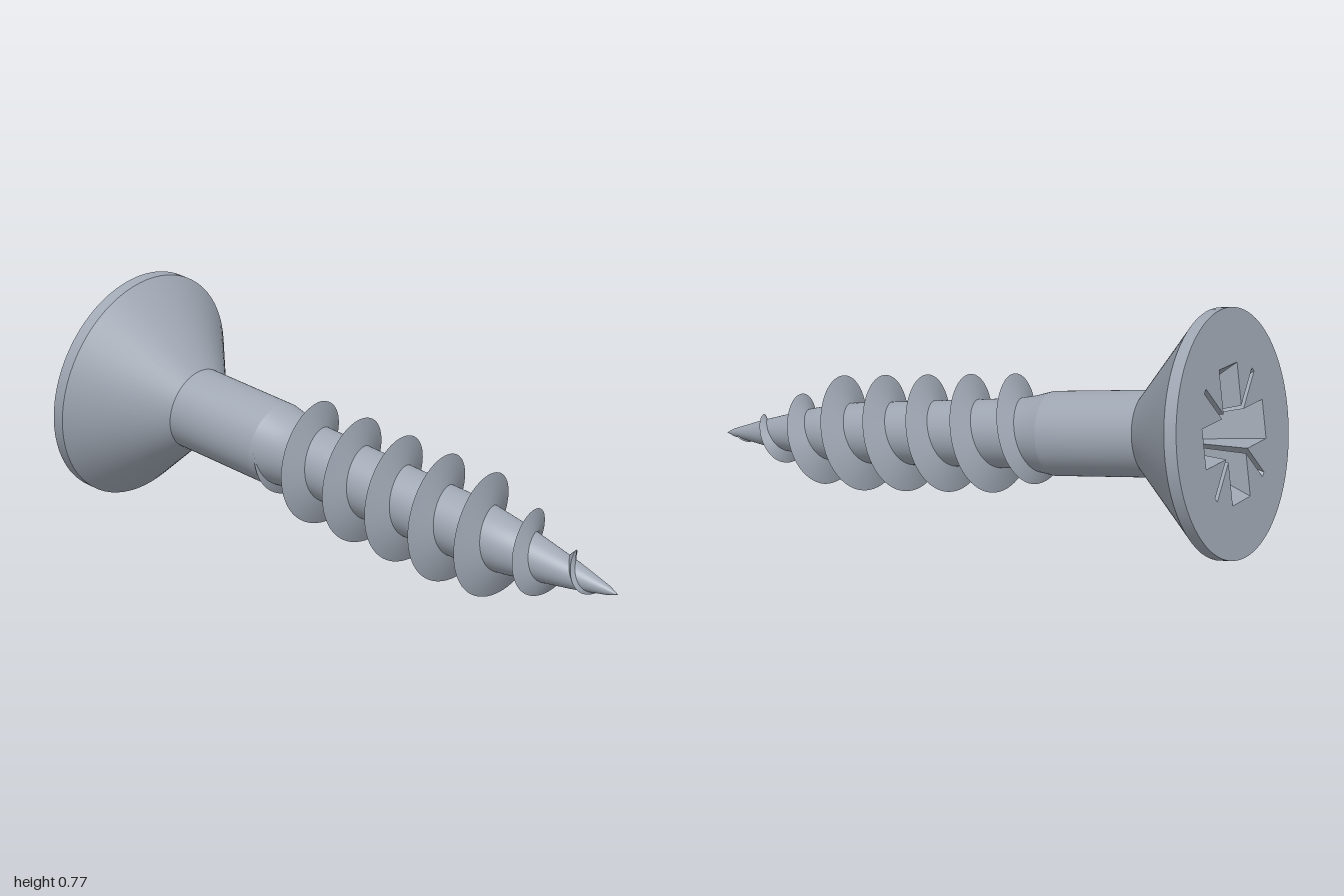
import * as THREE from 'three';

// Core profile along the screw axis: [distance from head face, radius]
const CORE = [[0.628, 0.135], [0.69, 0.122], [0.76, 0.113], [1.45, 0.1], [1.58, 0.083], [1.8, 0.042], [1.92, 0.014], [1.955, 0]];
// Thread crest radius along the axis
const CREST = [[0.64, 0.125], [0.7, 0.165], [0.77, 0.192], [1.46, 0.193], [1.538, 0.173], [1.614, 0.135], [1.713, 0.1], [1.78, 0.066], [1.9, 0.022]];
const PITCH = 0.1687, HEAD_R = 0.385, RECESS_DEPTH = 0.19;

function sample(table, s) {
  if (s <= table[0][0]) return table[0][1];
  for (let i = 1; i < table.length; i++) {
    const [s0, r0] = table[i - 1], [s1, r1] = table[i];
    if (s <= s1) return r0 + (r1 - r0) * (s - s0) / (s1 - s0);
  }
  return table[table.length - 1][1];
}

// Surface of revolution about +x
function turned(points) {
  return new THREE.LatheGeometry(points.map(([s, r]) => new THREE.Vector2(r, s)), 72).rotateZ(-Math.PI / 2);
}

// One flank of the helical thread between two edge curves
function flank(edgeA, edgeB) {
  const n = 560, pos = [], idx = [];
  for (let i = 0; i <= n; i++) {
    const s = 0.64 + (1.9 - 0.64) * i / n;
    pos.push(...edgeA(s), ...edgeB(s));
    if (i < n) {
      const k = 2 * i;
      idx.push(k, k + 1, k + 2, k + 1, k + 3, k + 2);
    }
  }
  const g = new THREE.BufferGeometry();
  g.setAttribute('position', new THREE.Float32BufferAttribute(pos, 3));
  g.setIndex(idx);
  g.computeVertexNormals();
  return g;
}

function helixPoint(s, offset, r) {
  const a = 2 * Math.PI * (s - 0.772) / PITCH;
  return [s + offset, r * Math.cos(a), r * Math.sin(a)];
}
const crestEdge = s => helixPoint(s, 0, Math.max(sample(CREST, s), sample(CORE, s)));
const rootEdge = side => s => {
  const height = Math.max(sample(CREST, s) - sample(CORE, s), 0);
  const offset = side * Math.min(0.03, 0.008 + height * 0.3);
  return helixPoint(s, offset, Math.max(sample(CORE, s + offset) - 0.004, 0));
};

// Cross outline with a narrow groove in each inner corner
function crossOutline(length, w, grooveR, h) {
  const pts = [], c = Math.SQRT1_2, inner = w / c + h;
  const diag = (r, t) => [(r - t) * c, (r + t) * c];
  const quarter = [[length, -w], [length, w], diag(inner, -h), diag(grooveR, -h), diag(grooveR, h), diag(inner, h)];
  for (let q = 0; q < 4; q++) {
    for (const [x, y] of quarter) {
      pts.push(new THREE.Vector2(x, y).rotateAround(new THREE.Vector2(), q * Math.PI / 2));
    }
  }
  return pts;
}

// Sloping walls from the rim of the recess to its floor
function recessWalls(top, bottom, depth) {
  const pos = [];
  top.forEach((a, i) => {
    const j = (i + 1) % top.length, b = top[j], c = bottom[j], d = bottom[i];
    pos.push(a.x, a.y, 0, b.x, b.y, 0, c.x, c.y, -depth);
    pos.push(a.x, a.y, 0, c.x, c.y, -depth, d.x, d.y, -depth);
  });
  const g = new THREE.BufferGeometry();
  g.setAttribute('position', new THREE.Float32BufferAttribute(pos, 3));
  g.computeVertexNormals();
  return g;
}

export function createModel() {
  const model = new THREE.Group();
  model.name = 'screw';
  const steel = new THREE.MeshStandardMaterial({ color: 0xa0a8b4 });
  steel.name = 'steel';
  const add = (name, geometry) => {
    const mesh = new THREE.Mesh(geometry, steel);
    mesh.name = name;
    model.add(mesh);
  };

  // Countersunk head, shank and tapered core
  add('headRim', turned([[0, HEAD_R], [0.04, HEAD_R]]));
  add('headCone', turned([[0.04, HEAD_R], [0.283, 0.136]]));
  add('shank', turned([[0.283, 0.136], [0.628, 0.135]]));
  add('threadCore', turned(CORE));

  // Thread
  add('threadFrontFlank', flank(rootEdge(1), crestEdge));
  add('threadRearFlank', flank(crestEdge, rootEdge(-1)));

  // Head face with the cross drive recess
  const rim = crossOutline(0.21, 0.062, 0.235, 0.009);
  const floor = crossOutline(0.095, 0.038, 0.085, 0.006);
  const face = new THREE.Shape().absarc(0, 0, HEAD_R, 0, Math.PI * 2);
  face.holes.push(new THREE.Path(rim));
  add('headFace', new THREE.ShapeGeometry(face, 72).rotateY(-Math.PI / 2));
  add('recessWalls', recessWalls(rim, floor, RECESS_DEPTH).rotateY(-Math.PI / 2));
  add('recessFloor', new THREE.ShapeGeometry(new THREE.Shape(floor)).rotateY(-Math.PI / 2).translate(RECESS_DEPTH, 0, 0));

  // Lay the screw down, resting on head rim and thread
  const axis = new THREE.Vector3(0.969, -0.138, 0.204).normalize();
  const side = new THREE.Vector3().crossVectors(axis, new THREE.Vector3(0, 1, 0)).normalize();
  const up = new THREE.Vector3().crossVectors(side, axis);
  model.quaternion.setFromRotationMatrix(new THREE.Matrix4().makeBasis(axis, up, side));
  model.position.set(-0.904, 0.39, -0.056);

  const root = new THREE.Group();
  root.name = 'woodScrew';
  root.add(model);
  return root;
}
